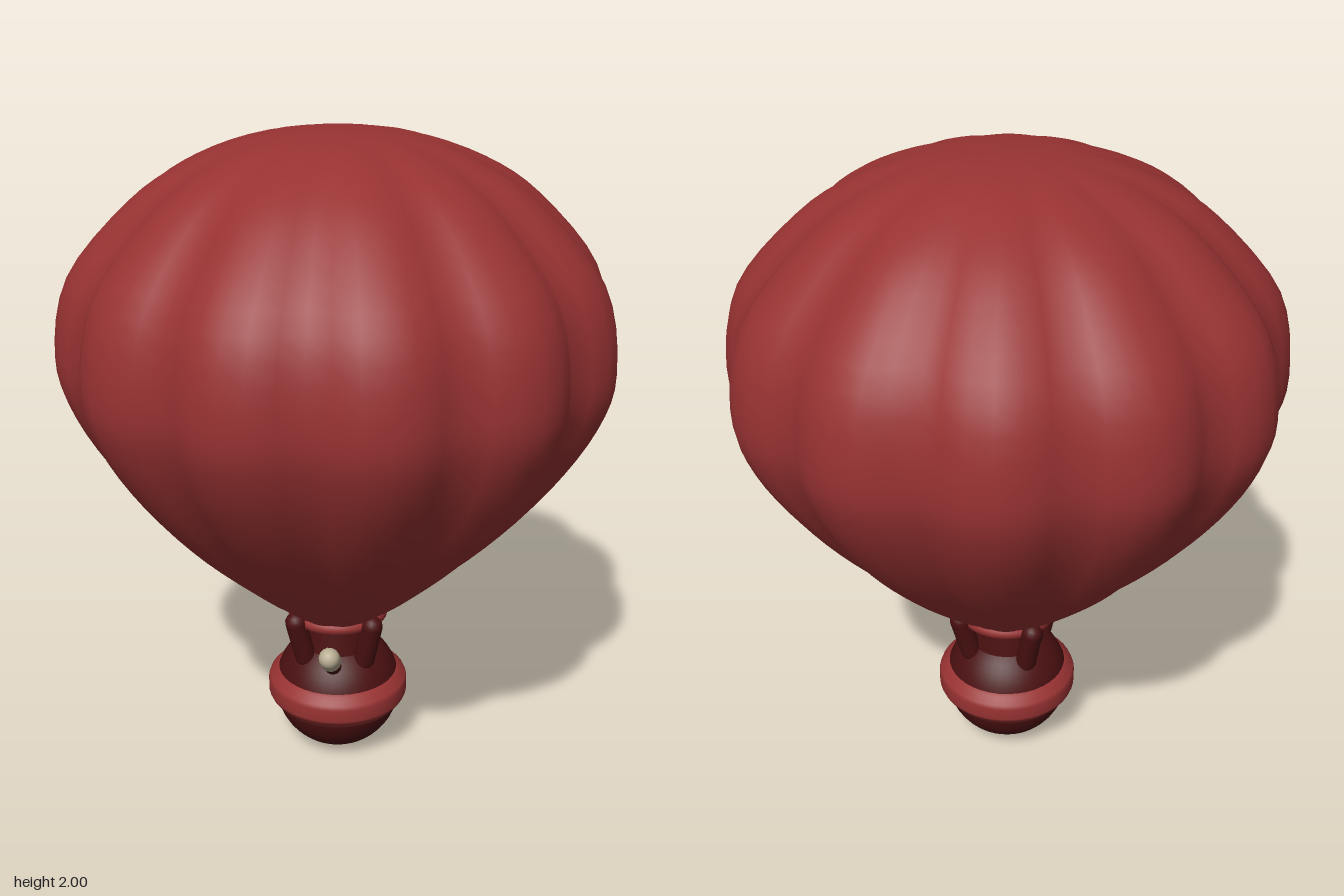
import * as THREE from 'three';
import { mergeVertices } from 'three/addons/utils/BufferGeometryUtils.js';

const mat = (name, color) => {
  const m = new THREE.MeshStandardMaterial({ color });
  m.name = name;
  return m;
};
const V2 = (p) => new THREE.Vector2(p[0], p[1]);
const V3 = (x, y, z) => new THREE.Vector3(x, y, z);

export function createModel() {
  const group = new THREE.Group();
  const red = mat('balloon red', 0x983232);
  const dark = mat('dark maroon', 0x4a1011);
  const cream = mat('cream', 0xb8ad92);

  const add = (name, geometry, material) => {
    const mesh = new THREE.Mesh(geometry, material);
    mesh.name = name;
    group.add(mesh);
    return mesh;
  };
  // Capsule whose rounded ends reach the two given points
  const rod = (name, a, b, radius, material) => {
    const dir = b.clone().sub(a);
    const mesh = add(name, new THREE.CapsuleGeometry(radius, dir.length() - 2 * radius, 5, 14), material);
    mesh.position.copy(a).add(b).multiplyScalar(0.5);
    mesh.quaternion.setFromUnitVectors(V3(0, 1, 0), dir.normalize());
  };

  // Envelope: a smooth profile pinched into twelve gores
  const curve = new THREE.SplineCurve([
    [0.13, 0.47], [0.18, 0.52], [0.28, 0.6], [0.495, 0.8], [0.665, 1.0], [0.785, 1.2], [0.825, 1.37],
    [0.775, 1.6], [0.6, 1.8], [0.43, 1.91], [0.22, 1.98], [0, 2.0],
  ].map(V2));
  const profile = curve.getPoints(44);
  profile[44].x = 0;
  let envelope = new THREE.LatheGeometry(profile, 72);
  const pos = envelope.attributes.position;
  for (let i = 0; i < pos.count; i++) {
    const x = pos.getX(i), z = pos.getZ(i);
    const depth = 0.075 * Math.min(1, Math.hypot(x, z) / 0.5);
    const k = 1 - depth * (1 - Math.abs(Math.sin(6 * Math.atan2(z, x))));
    pos.setX(i, x * k);
    pos.setZ(i, z * k);
  }
  envelope.deleteAttribute('normal');
  envelope.deleteAttribute('uv');
  envelope = mergeVertices(envelope, 1e-4);
  envelope.computeVertexNormals();
  add('envelope', envelope, red);

  // Rounded collar around the envelope mouth
  add('mouthRing', new THREE.LatheGeometry([
    [0.1, 0.465], [0.15, 0.465], [0.16, 0.473], [0.162, 0.485], [0.16, 0.497], [0.15, 0.505], [0.1, 0.505],
  ].map(V2), 40), red);

  // Round gondola and the neck joining it to the collar
  add('gondola', new THREE.SphereGeometry(0.205, 40, 28), dark).position.y = 0.205;
  add('neck', new THREE.CylinderGeometry(0.105, 0.125, 0.13, 32), dark).position.y = 0.415;

  // Padded belt around the gondola
  add('belt', new THREE.LatheGeometry([
    [0.185, 0.155], [0.203, 0.16], [0.212, 0.178], [0.222, 0.183], [0.227, 0.195], [0.227, 0.235],
    [0.222, 0.248], [0.21, 0.256], [0.202, 0.27], [0.185, 0.278],
  ].map(V2), 48), red);

  // Four struts on the diagonals
  for (const sx of [1, -1]) for (const sz of [1, -1]) {
    rod('strut', V3(sx * 0.088, 0.32, sz * 0.088), V3(sx * 0.127, 0.52, sz * 0.127), 0.034, dark);
  }

  // Angled front nozzle with a pale tip
  rod('nozzleShaft', V3(0, 0.31, 0.1), V3(0, 0.43, 0.235), 0.027, dark);
  rod('nozzleTip', V3(0, 0.385, 0.185), V3(0, 0.465, 0.28), 0.033, cream);

  return group;
}
